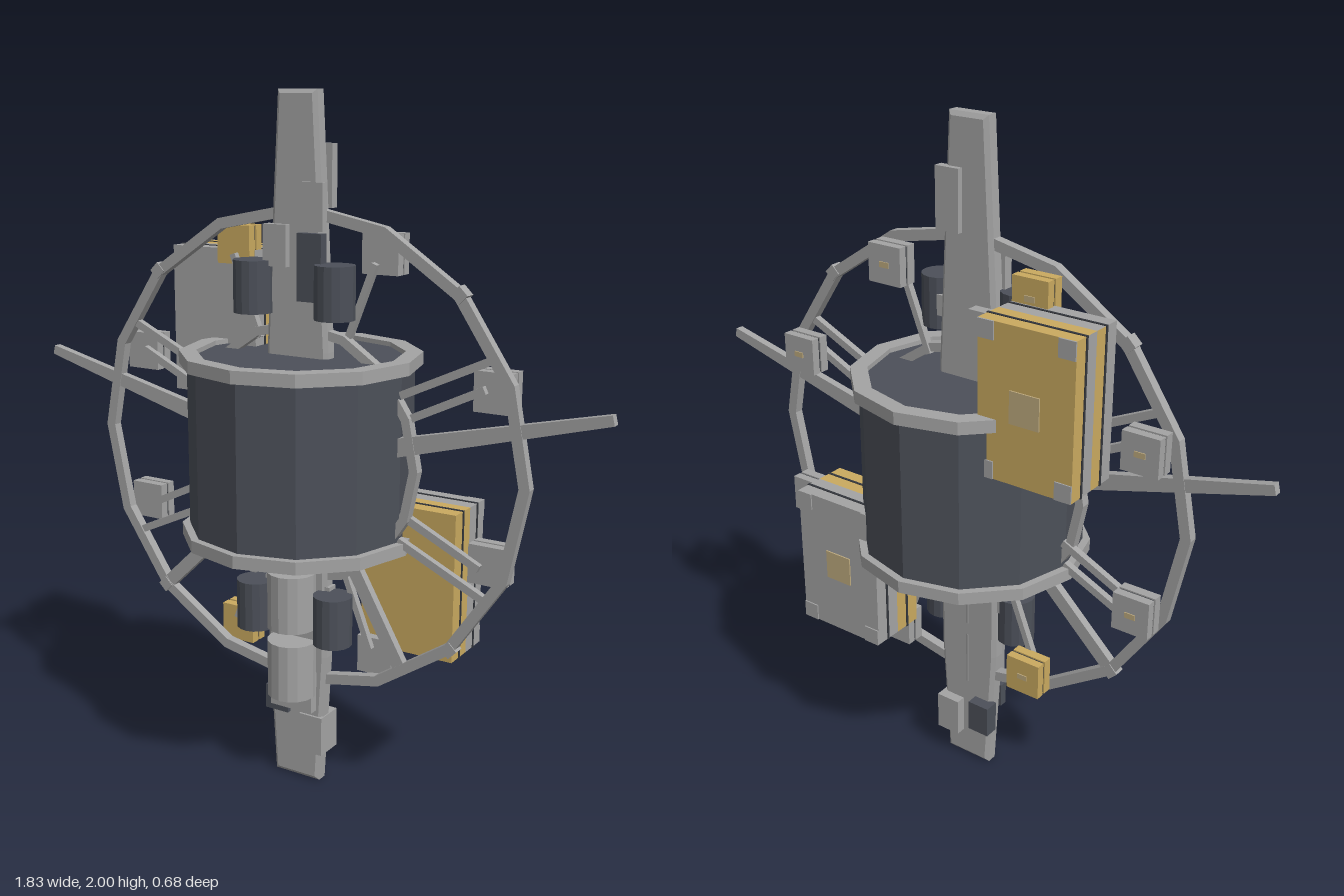
import * as THREE from 'three';

const mat = (name, color) => {
  const m = new THREE.MeshStandardMaterial({ color, flatShading: true });
  m.name = name;
  return m;
};

export function createModel() {
  const model = new THREE.Group();
  model.name = 'spaceStation';
  const grey = mat('hullGrey', 0xa4a4a4);
  const dark = mat('darkSlate', 0x4c5059);
  const line = mat('seamBlack', 0x34373d);
  const gold = mat('goldFoil', 0xcaaa60);
  const beige = mat('paleHatch', 0xc0ac80);

  const add = (name, geo, material, x = 0, y = 0, z = 0, parent = model) => {
    const m = new THREE.Mesh(geo, material);
    m.name = name;
    m.position.set(x, y, z);
    parent.add(m);
    return m;
  };
  // box given by its limits
  const block = (name, material, x0, x1, y0, y1, z0, z1, parent) =>
    add(name, new THREE.BoxGeometry(x1 - x0, y1 - y0, z1 - z0), material,
      (x0 + x1) / 2, (y0 + y1) / 2, (z0 + z1) / 2, parent);
  // closed ring with a rectangular section, around the y axis
  const ringGeo = (r0, r1, h, sides) => new THREE.LatheGeometry(
    [[r1, -h], [r1, h], [r0, h], [r0, -h], [r1, -h]].map(p => new THREE.Vector2(...p)), sides);
  // beam in the xy plane, tapering from width w0 to w1
  const beam = (name, x0, y0, x1, y1, w0, w1 = w0, depth = 0.024, z = 0) => {
    const len = Math.hypot(x1 - x0, y1 - y0);
    const g = new THREE.BoxGeometry(len, 1, depth);
    const p = g.attributes.position;
    for (let i = 0; i < p.count; i++) p.setY(i, p.getY(i) * (p.getX(i) < 0 ? w0 : w1));
    g.computeVertexNormals();
    add(name, g, grey, (x0 + x1) / 2, (y0 + y1) / 2, z).rotation.z = Math.atan2(y1 - y0, x1 - x0);
  };

  // central drum with raised rims
  add('drum', new THREE.CylinderGeometry(0.32, 0.32, 0.515, 12), dark, 0, 1.025, 0);
  for (const y of [0.773, 1.278]) add('drumRim', ringGeo(0.293, 0.342, 0.018, 12), grey, 0, y, 0);

  // tapered, bevelled spine
  const outline = new THREE.Shape([[-0.076, 0], [0.076, 0], [0.1, 0.4], [0.1, 1.3], [0.062, 2],
    [-0.062, 2], [-0.1, 1.3], [-0.1, 0.4]].map(p => new THREE.Vector2(...p)));
  add('spine', new THREE.ExtrudeGeometry(outline, {
    depth: 0.03, bevelEnabled: true, bevelThickness: 0.01, bevelSize: 0.012, bevelOffset: -0.012, bevelSegments: 1,
  }), grey, 0, 0, -0.015);

  // hoops in the xy plane
  for (const [name, r0, r1] of [['outerHoop', 0.672, 0.703], ['innerHoop', 0.354, 0.38]]) {
    add(name, ringGeo(r0, r1, 0.014, 16), grey, 0, 1, 0).rotation.x = Math.PI / 2;
  }
  for (let i = 0; i < 4; i++) {
    const a = Math.PI * (0.25 + i * 0.5);
    add('hoopJoint', new THREE.BoxGeometry(0.035, 0.035, 0.034), grey,
      0.69 * Math.cos(a), 1 + 0.69 * Math.sin(a), 0).rotation.z = a;
  }
  beam('hoopSpoke', -0.19, 0.8, -0.485, 0.515, 0.04);
  beam('hoopSpoke', 0.17, 0.71, 0.335, 0.42, 0.04);

  // instrument pod: grey front, dark seam, coloured back and a small hatch
  const pod = (x, y, material) => {
    const g = new THREE.Group();
    g.name = 'pod';
    g.position.set(x, y, 0);
    model.add(g);
    const s = 0.055;
    block('podFront', material, -s, s, -s, s, -0.046, -0.018, g);
    block('podSeam', line, -s + 0.004, s - 0.004, -s + 0.004, s - 0.004, -0.054, -0.046, g);
    block('podBack', material, -s, s, -s, s, -0.08, -0.054, g);
    block('podHatch', beige, -0.016, 0.016, -0.008, 0.008, -0.083, -0.08, g);
  };

  // mirrored parts
  for (const s of [-1, 1]) {
    beam('sideArm', s * 0.3, 1.057, s * 0.912, 1.212, 0.052, 0.028);
    for (const v of [-1, 1]) {
      const Y = d => 1 + v * d;
      pod(s * 0.577, Y(0.237), grey);
      pod(s * 0.238, Y(0.575), s < 0 ? gold : grey);
      beam('podStrut', s * 0.32, Y(0.205), s * 0.6, Y(0.335), 0.022, 0.022, 0.02);
      beam('podStrut', s * 0.32, Y(0.13), s * 0.56, Y(0.245), 0.022, 0.022, 0.02, -0.01);
      beam('podStrut', s * 0.14, Y(0.32), s * 0.23, Y(0.55), 0.018, 0.018, 0.02, -0.01);
      add('darkTank', new THREE.CylinderGeometry(0.057, 0.057, 0.147, 16), dark, s * 0.132, v > 0 ? 1.472 : 0.535, 0.038);
      block('tankMount', grey, Math.min(s * 0.06, s * 0.11), Math.max(s * 0.06, s * 0.11),
        Y(0.44), Y(0.44) + 0.06, -0.015, 0.02);
    }
  }

  // grey tanks down the front of the lower spine
  for (const y of [0.365, 0.575, 0.785]) {
    add('greyTank', new THREE.CylinderGeometry(0.073, 0.073, 0.17, 16), grey, 0, y, 0.047);
  }

  // equipment boxes on the spine
  for (const [m, ...b] of [
    [grey, 0.015, 0.092, 1.63, 1.76, 0.015, 0.037],
    [dark, 0.015, 0.092, 1.44, 1.625, 0.015, 0.045],
    [grey, -0.095, -0.02, 1.53, 1.645, 0.015, 0.045],
    [grey, 0.015, 0.09, 1.69, 1.86, -0.042, -0.015],
    [grey, -0.09, -0.03, 1.35, 1.5, -0.06, -0.015],
    [dark, -0.098, -0.02, 0.205, 0.28, 0.015, 0.04],
    [dark, -0.1, -0.03, 0.135, 0.235, -0.06, -0.015],
    [grey, 0.015, 0.092, 0.09, 0.21, -0.056, 0.032],
    [grey, -0.07, 0.07, 0.23, 0.35, 0.015, 0.055],
  ]) block('equipmentBox', m, ...b);

  // large layered cargo modules behind the hoop
  const cargo = (x, y, front, back, sides2, sides3) => {
    const g = new THREE.Group();
    g.name = 'cargoModule';
    g.position.set(x, y, 0);
    model.add(g);
    const w = 0.145, h = 0.216;
    const six = (side, rest) => [side, side, rest, rest, rest, rest];
    block('cargoFront', front, -w, w, -h, h, -0.088, -0.045, g);
    block('cargoInnerFront', six(sides2, front), -w, w, -h, h, -0.136, -0.096, g);
    block('cargoInnerBack', six(sides3, back), -w, w, -h, h, -0.178, -0.136, g);
    block('cargoBack', back, -w, w, -h, h, -0.226, -0.186, g);
    for (const z of [-0.092, -0.182]) {
      block('cargoSeam', line, -w - 0.002, w + 0.002, -h - 0.002, h + 0.002, z - 0.004, z + 0.004, g);
    }
    block('cargoHatch', beige, -0.045, 0.045, -0.045, 0.045, -0.23, -0.226, g);
    for (const sx of [-1, 1]) for (const sy of [-1, 1]) {
      add('cornerPlate', new THREE.BoxGeometry(0.05, 0.05, 0.005), grey, sx * (w - 0.025), sy * (h - 0.025), -0.2275, g);
    }
  };
  cargo(-0.327, 1.343, grey, gold, gold, grey);
  cargo(0.325, 0.664, gold, grey, gold, grey);

  return model;
}
